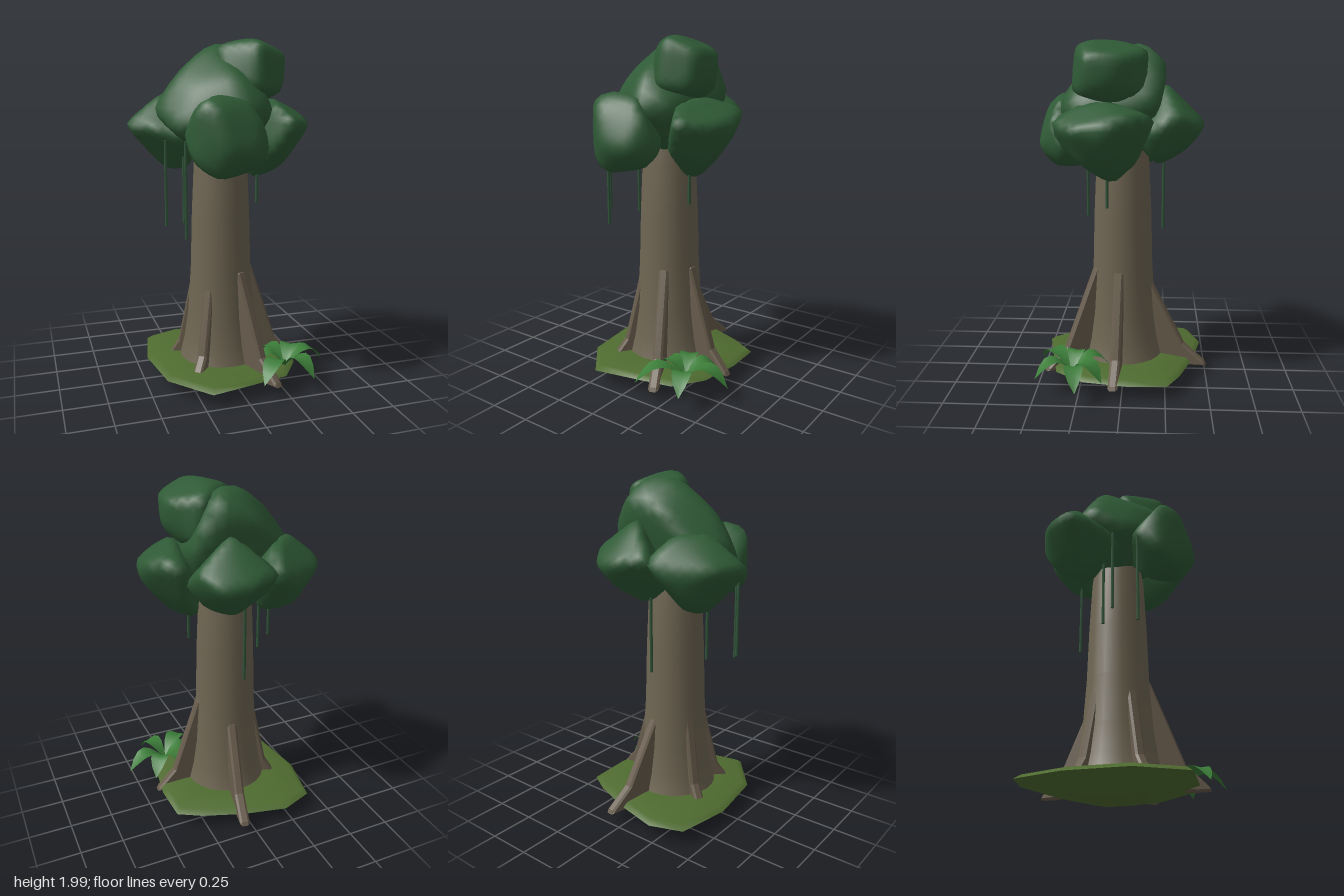
import * as THREE from 'three';
import { mergeVertices } from 'three/addons/utils/BufferGeometryUtils.js';
import { ConvexGeometry } from 'three/addons/geometries/ConvexGeometry.js';

const flat = (name, color, side = THREE.FrontSide) => {
  const m = new THREE.MeshStandardMaterial({ color, side });
  m.name = name;
  return m;
};

// Weld vertices and rebuild smooth normals
function smooth(geo) {
  geo.deleteAttribute('normal');
  geo.deleteAttribute('uv');
  const g = mergeVertices(geo, 1e-4);
  g.computeVertexNormals();
  return g;
}

// Rounded convex lump: a sphere pressed against the softened hull of a few corner points
function lump(center, corners) {
  const c = new THREE.Vector3(...center), v = new THREE.Vector3();
  const hull = new ConvexGeometry(corners.map(a => new THREE.Vector3(...a)));
  const planes = [];
  for (let i = 0; i < hull.attributes.position.count; i += 3) {
    const n = new THREE.Vector3().fromBufferAttribute(hull.attributes.normal, i);
    v.fromBufferAttribute(hull.attributes.position, i).sub(c);
    planes.push(n.divideScalar(Math.max(0.03, n.dot(v))));
  }
  const g = smooth(new THREE.IcosahedronGeometry(1, 6));
  const p = g.attributes.position;
  for (let i = 0; i < p.count; i++) {
    v.fromBufferAttribute(p, i).normalize();
    let sum = 0;
    for (const n of planes) sum += Math.max(0, n.dot(v)) ** 16;
    v.multiplyScalar(1.06 * sum ** (-1 / 16)).add(c);
    p.setXYZ(i, v.x, v.y, v.z);
  }
  g.computeVertexNormals();
  return g;
}

// Lathe profile stretched to an irregular rim outline
function island(profile, rim) {
  const n = rim.length;
  const g = new THREE.LatheGeometry(profile.map(([r, y]) => new THREE.Vector2(r, y)), n);
  const p = g.attributes.position;
  for (let i = 0; i < p.count; i++) {
    const [r] = profile[i % profile.length];
    const [x, z] = rim[Math.floor(i / profile.length) % n];
    p.setXYZ(i, x * r, p.getY(i), z * r);
  }
  return smooth(g);
}

// Pointed leaf arching outward along +x, with a shallow centre fold
function leafGeometry(length, width, rise, drop) {
  const pos = [], idx = [], N = 6;
  for (let i = 0; i <= N; i++) {
    const t = i / N;
    const w = width / 2 * Math.sin(Math.PI * Math.pow(t, 1.15)) + (i < N ? 0.008 : 0);
    const y = rise * Math.sin(Math.PI * t * 0.85) - drop * t * t;
    for (const s of [-1, 0, 1]) pos.push(length * t, y + (s ? 0.012 * Math.sin(Math.PI * t) : 0), s * w);
  }
  for (let i = 0; i < N; i++) for (const k of [0, 1]) {
    const a = i * 3 + k;
    idx.push(a, a + 1, a + 3, a + 1, a + 4, a + 3);
  }
  const g = new THREE.BufferGeometry();
  g.setAttribute('position', new THREE.Float32BufferAttribute(pos, 3));
  g.setIndex(idx);
  g.computeVertexNormals();
  return g;
}

export function createModel() {
  const tree = new THREE.Group();
  tree.name = 'jungleTree';
  const bark = flat('bark', 0x6e6552);
  const rootBark = flat('rootBark', 0x685c4c);
  const foliage = flat('foliage', 0x2f5a36);
  const vineGreen = flat('vineGreen', 0x31553a);
  const moss = flat('moss', 0x4f6b30);
  const fern = flat('fernGreen', 0x3b7c38, THREE.DoubleSide);

  const add = (name, geo, mat, parent = tree) => {
    const m = new THREE.Mesh(geo, mat);
    m.name = name;
    parent.add(m);
    return m;
  };

  // Mossy ground mound
  const rim = [[0.08, 0.43], [0.26, 0.39], [0.38, 0.22], [0.42, -0.03], [0.41, -0.26], [0.28, -0.335],
    [0.05, -0.42], [-0.21, -0.48], [-0.4, -0.41], [-0.46, -0.1], [-0.41, 0.25], [-0.21, 0.49]];
  add('groundUnderside', island([[0, 0.005], [0.3, 0.013], [0.7, 0.045], [1, 0.09]], rim), moss);
  add('groundTop', island([[1, 0.09], [0.93, 0.115], [0.6, 0.127], [0, 0.13]], rim), moss);

  // Trunk with flared base
  const trunkProfile = [[0.27, 0.08], [0.245, 0.13], [0.22, 0.24], [0.197, 0.4], [0.179, 0.68],
    [0.17, 1.0], [0.156, 1.3], [0.13, 1.5]].map(([r, y]) => new THREE.Vector2(r, y));
  add('trunk', new THREE.LatheGeometry(trunkProfile, 24), bark).position.set(-0.022, 0, 0.01);

  // Buttress roots: [angle in degrees, foot reach, top height, foot height]
  const roots = [[65, 0.5, 0.68, 0.065], [131, 0.34, 0.58, 0.1], [204, 0.32, 0.58, 0.1],
    [280.5, 0.52, 0.58, 0.07], [5, 0.455, 0.68, 0.065]];
  for (const [deg, reach, top, foot] of roots) {
    const knee = 0.17 + (reach - 0.17) * 0.6;
    const s = new THREE.Shape();
    s.moveTo(0.08, 0.07);
    s.lineTo(reach - 0.08, foot - 0.005);
    s.lineTo(reach, foot);
    s.lineTo(reach - 0.012, foot + 0.022);
    s.lineTo(knee, 0.2);
    s.lineTo(0.185, top - 0.01);
    s.lineTo(0.15, top);
    s.lineTo(0.08, top - 0.1);
    s.closePath();
    const g = new THREE.ExtrudeGeometry(s, {
      depth: 0.034, bevelEnabled: true, bevelThickness: 0.012, bevelSize: 0.01, bevelOffset: -0.01, bevelSegments: 1,
    });
    g.translate(0, 0, -0.017);
    const m = add('buttressRoot', g, rootBark);
    m.position.set(-0.022, 0, 0.01);
    m.rotation.y = -deg * Math.PI / 180;
  }

  // Canopy clumps: centre, then corner points
  const canopy = new THREE.Group();
  canopy.name = 'canopy';
  tree.add(canopy);
  const clump = (name, center, corners) => add(name, lump(center, corners), foliage, canopy);
  clump('crown', [-0.06, 1.62, 0.03], [
    [-0.42, 1.6, 0], [-0.34, 1.75, 0], [-0.22, 1.88, -0.02], [-0.08, 1.985, -0.06], [0.1, 1.98, -0.12],
    [0.1, 1.88, -0.24], [-0.12, 1.8, -0.24], [0.25, 1.7, -0.22], [0.25, 1.6, 0], [0.2, 1.62, 0.3],
    [0.02, 1.61, 0.385], [0, 1.8, 0.28], [-0.22, 1.73, 0.2], [-0.32, 1.5, 0.22], [-0.1, 1.3, 0],
    [-0.32, 1.6, -0.2], [0.1, 1.38, -0.12], [0.1, 1.4, 0.2]]);
  clump('topClump', [0.12, 1.82, 0.07], [
    [0.13, 2, 0.18], [0.1, 1.99, 0], [-0.06, 1.96, 0.05], [0.3, 1.91, 0], [0.31, 1.76, 0.08], [0.3, 1.92, 0.19],
    [0.12, 1.96, 0.27], [0.1, 1.72, 0.285], [0.26, 1.71, 0.24], [0.22, 1.65, 0.05], [0.2, 1.7, -0.13],
    [0.15, 1.94, -0.14], [-0.05, 1.78, 0.15], [0, 1.78, -0.04]]);
  clump('frontClump', [-0.07, 1.48, 0.29], [
    [-0.27, 1.65, 0.38], [-0.16, 1.705, 0.36], [0.03, 1.67, 0.36], [0.09, 1.58, 0.4], [-0.13, 1.42, 0.51],
    [0.05, 1.4, 0.49], [0.16, 1.4, 0.33], [0.1, 1.31, 0.36], [-0.15, 1.26, 0.43], [-0.28, 1.34, 0.38],
    [-0.29, 1.48, 0.22], [-0.05, 1.5, 0.05], [-0.08, 1.28, 0.22], [-0.18, 1.63, 0.47]]);
  clump('rightClump', [0.25, 1.46, 0.11], [
    [0.25, 1.68, 0.1], [0.42, 1.6, -0.09], [0.46, 1.58, 0.06], [0.46, 1.48, 0.08], [0.42, 1.53, 0.28],
    [0.28, 1.55, 0.4], [0.22, 1.64, 0.29], [0.2, 1.4, 0.34], [0.39, 1.37, 0.1], [0.13, 1.21, 0.05],
    [0.24, 1.23, 0.09], [0.25, 1.33, -0.08], [0.29, 1.58, -0.18], [0.08, 1.45, 0.1], [0.3, 1.31, 0.2]]);
  clump('backClump', [0.04, 1.53, -0.22], [
    [0, 1.54, -0.465], [0.2, 1.53, -0.43], [0.26, 1.6, -0.3], [0.29, 1.5, -0.16], [0.05, 1.77, -0.23],
    [-0.16, 1.57, -0.39], [0.1, 1.39, -0.36], [0, 1.29, -0.2], [0.18, 1.35, -0.18], [0.03, 1.5, 0],
    [-0.18, 1.42, -0.25]]);
  clump('leftClump', [-0.28, 1.49, -0.12], [
    [-0.565, 1.52, -0.07], [-0.475, 1.53, -0.26], [-0.25, 1.5, -0.38], [-0.34, 1.7, -0.12], [-0.2, 1.7, -0.25],
    [-0.43, 1.5, 0.05], [-0.32, 1.26, -0.08], [-0.18, 1.26, -0.12], [-0.32, 1.33, -0.27], [-0.25, 1.45, 0.14],
    [-0.08, 1.5, -0.15], [-0.43, 1.36, -0.08], [-0.14, 1.56, -0.41]]);

  // Hanging vines: [x, z, bottom]
  for (const [x, z, y] of [[-0.375, 0.13, 0.97], [-0.29, 0.245, 0.915], [-0.245, 0.015, 0.955],
    [0.175, 0.09, 1.065], [-0.035, -0.23, 0.9]]) {
    const h = 1.45 - y;
    add('vine', new THREE.CylinderGeometry(0.008, 0.009, h, 6), vineGreen).position.set(x, y + h / 2, z);
  }

  // Fern at the base: [angle in degrees, length]
  const plant = new THREE.Group();
  plant.name = 'fern';
  plant.position.set(0.29, 0.11, 0.29);
  tree.add(plant);
  for (const [deg, len] of [[-9, 0.26], [65, 0.23], [135, 0.29], [188, 0.2], [246, 0.24], [305, 0.22]]) {
    add('fernLeaf', leafGeometry(len, 0.095, 0.105, 0.055), fern, plant).rotation.y = -deg * Math.PI / 180;
  }
  return tree;
}
